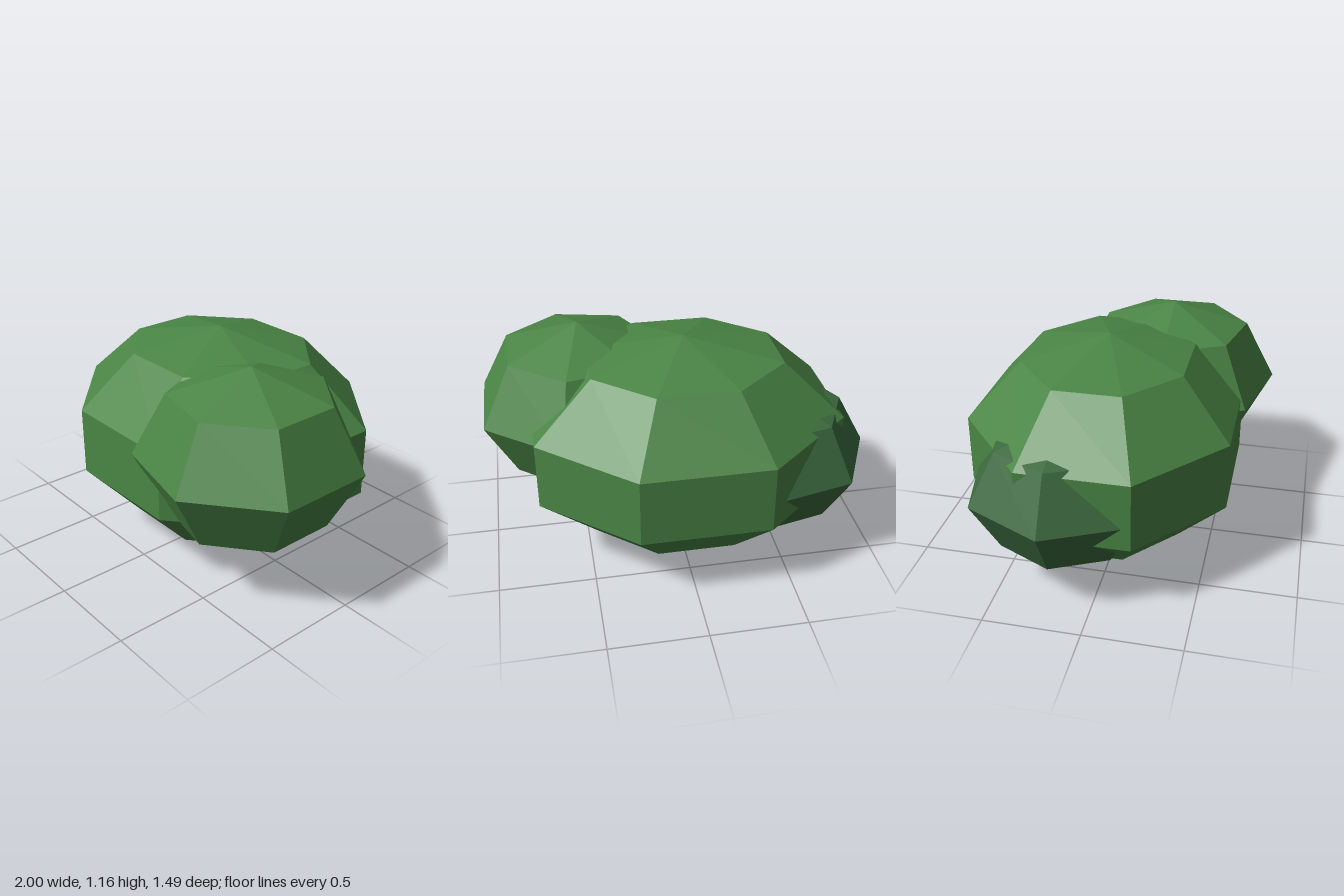
import * as THREE from 'three';

export function createModel() {
  const group = new THREE.Group();
  group.name = 'bush';

  const leafGreen = new THREE.MeshStandardMaterial({ color: 0x4a8545, flatShading: true });
  leafGreen.name = 'leaf green';
  const shadeGreen = new THREE.MeshStandardMaterial({ color: 0x3b693e, flatShading: true });
  shadeGreen.name = 'deep leaf green';

  // One faceted clump of foliage: a coarse sphere stretched to the given radii
  function clump(name, material, sides, rings, turn, radii, position) {
    const geometry = new THREE.SphereGeometry(1, sides, rings, turn, Math.PI * 2);
    geometry.scale(...radii);
    const mesh = new THREE.Mesh(geometry, material);
    mesh.name = name;
    mesh.position.set(...position);
    group.add(mesh);
  }

  clump('mainClump', leafGreen, 8, 5, Math.PI / 8, [0.9, 0.58, 0.768], [-0.036, 0.58, -0.073]);
  clump('frontLeftClump', leafGreen, 7, 4, 0, [0.577, 0.45, 0.577], [0.48, 0.71, 0.18]);
  clump('backRightClump', shadeGreen, 7, 4, 0, [0.51, 0.383, 0.51], [-0.49, 0.518, -0.2]);

  return group;
}
